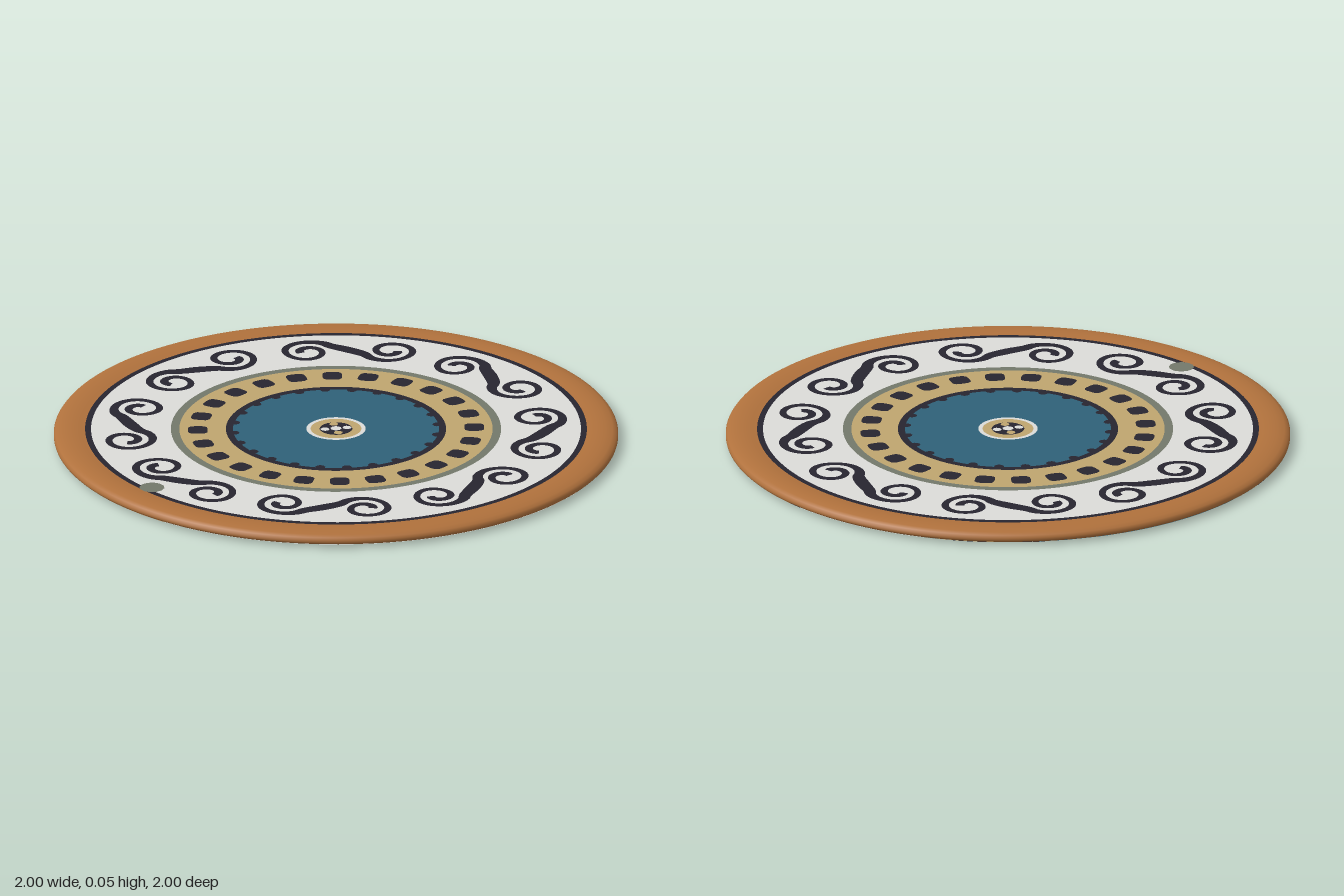
import * as THREE from 'three';

const paint = (name, color) => {
  const m = new THREE.MeshStandardMaterial({ color, side: THREE.DoubleSide });
  m.name = name;
  return m;
};
const white = paint('chalk white', 0xdcdcd9);
const brown = paint('terracotta', 0xb0713c);
const tan = paint('sand', 0xbfa56f);
const blue = paint('deep blue', 0x2f6178);
const dark = paint('ink', 0x272530);
const grey = paint('grey green', 0x73786b);

const TAU = Math.PI * 2, rad = THREE.MathUtils.degToRad;
const BASE = 0.004, FIELD = 0.045, STEP = 0.001, EDGE = 0.992;

// Height of the rounded lower edge of the plate at radius r
const underside = r => (r < 0.94 ? 0 : 0.018 * (1 - Math.sqrt(Math.max(0, 1 - ((r - 0.94) / 0.06) ** 2))));

// Pattern plane to the plate's top
const onTop = (a, b, layer) => ({ p: [a, FIELD + STEP * (layer + 1), -b], out: false });

// Enlarged, off-centre pattern on the underside, cut off at the plate's edge
function onBottom(a, b, layer) {
  let u = 1.295 + 1.75 * a, w = 0.12 + 1.87 * b;
  const r = Math.hypot(u, w), out = r > EDGE;
  if (out) { u *= EDGE / r; w *= EDGE / r; }
  const y = BASE + underside(Math.min(r, EDGE)) - STEP * (layer + 1);
  return { p: [(w - u) * Math.SQRT1_2, y, -(u + w) * Math.SQRT1_2], out };
}

// Lays a flat geometry on the plate, dropping faces that miss it
function lay(group, name, flat, material, map, layer) {
  const pos = flat.attributes.position, index = flat.index.array;
  const pts = [], faces = [];
  const outs = [];
  for (let i = 0; i < pos.count; i++) {
    const m = map(pos.getX(i), pos.getY(i), layer);
    pts.push(...m.p);
    outs.push(m.out);
  }
  for (let i = 0; i < index.length; i += 3) {
    const [a, b, c] = [index[i], index[i + 1], index[i + 2]];
    if (!(outs[a] && outs[b] && outs[c])) faces.push(a, b, c);
  }
  if (!faces.length) return;
  const g = new THREE.BufferGeometry();
  g.setAttribute('position', new THREE.Float32BufferAttribute(pts, 3));
  g.setIndex(faces);
  g.computeVertexNormals();
  const mesh = new THREE.Mesh(g, material);
  mesh.name = name;
  group.add(mesh);
}

// Tapered S-shaped scroll with a spiral at each end, centred on the origin
function scrollGeometry() {
  const half = [];
  for (let i = 0; i <= 26; i++) {
    const t = i / 26, angle = rad(-150 + 520 * t), r = 0.1 - 0.075 * t;
    half.push(new THREE.Vector3(0.148 + r * Math.cos(angle), 0.015 + r * Math.sin(angle), 0));
  }
  const other = half.map(p => p.clone().negate()).reverse();
  const curve = new THREE.CatmullRomCurve3([...other, new THREE.Vector3(), ...half]);
  const N = 150, pts = [], index = [];
  for (let i = 0; i <= N; i++) {
    const t = i / N, p = curve.getPointAt(t), d = curve.getTangentAt(t);
    const s = Math.abs(2 * t - 1);
    const w = 0.0125 + 0.013 * Math.exp(-((s / 0.2) ** 2)) + 0.004 * Math.max(0, s - 0.8) * 5 * (s < 0.99 ? 1 : 0.5);
    pts.push(p.x - d.y * w, p.y + d.x * w, 0, p.x + d.y * w, p.y - d.x * w, 0);
    if (i < N) {
      const k = 2 * i;
      index.push(k, k + 1, k + 2, k + 1, k + 3, k + 2);
    }
  }
  const g = new THREE.BufferGeometry();
  g.setAttribute('position', new THREE.Float32BufferAttribute(pts, 3));
  g.setIndex(index);
  return g;
}

// Rounded square block
function blockGeometry(size) {
  const g = new THREE.CircleGeometry(size, 20), pos = g.attributes.position;
  for (let i = 1; i < pos.count; i++) {
    const x = pos.getX(i) / size, y = pos.getY(i) / size;
    const k = 1 / Math.pow(x ** 4 + y ** 4, 0.25);
    pos.setXY(i, x * k * size, y * k * size);
  }
  return g;
}

function pattern(name, map, turn) {
  const group = new THREE.Group();
  group.name = name;
  const ring = (part, r0, r1, mat, layer = 0, rows = 4) =>
    lay(group, part, new THREE.RingGeometry(r0, r1, 160, rows), mat, map, layer);

  // Concentric bands
  ring('blueField', 0.1, 0.365, blue);
  ring('innerLine', 0.365, 0.39, dark);
  ring('sandBand', 0.39, 0.555, tan);
  ring('greyLine', 0.555, 0.585, grey);
  ring('scrollBand', 0.585, 0.868, white, 0, 8);
  ring('outerLine', 0.868, 0.889, dark);

  // Centre boss
  ring('centreEdge', 0.09, 0.105, white, 1, 1);
  ring('centreBand', 0.058, 0.09, tan, 1, 1);
  ring('centreDisc', 0.001, 0.058, dark, 1, 1);
  for (let i = 0; i < 5; i++) {
    const r = i ? 0.04 : 0, a = rad(20 + 90 * i);
    const dot = new THREE.CircleGeometry(i ? 0.016 : 0.02, 10).translate(r * Math.cos(a), r * Math.sin(a), 0);
    lay(group, 'centreDot', dot, i % 2 ? tan : white, map, 2);
  }

  // Blocks of the sand band and scallops round the blue field
  for (let i = 0; i < 24; i++) {
    const a = rad(85 + turn) + (i * TAU) / 24;
    lay(group, 'block', blockGeometry(0.035).translate(0.49, 0, 0).rotateZ(a), dark, map, 1);
    const bump = new THREE.CircleGeometry(0.018, 10).translate(0.362, 0, 0).rotateZ(a + 0.08);
    lay(group, 'scallop', bump, dark, map, 1);
  }

  // Eight scrolls, half of them mirrored
  for (let k = 0; k < 8; k++) {
    const g = scrollGeometry();
    const flip = k >= 3 && k <= 6 ? -1 : 1, pos = g.attributes.position;
    for (let i = 0; i < pos.count; i++) {
      // bend the scroll along the band
      const angle = rad(95 - 45 * k + turn) - pos.getX(i) / 0.735;
      const r = 0.732 + flip * pos.getY(i);
      pos.setXY(i, r * Math.cos(angle), r * Math.sin(angle));
    }
    lay(group, 'scroll', g, dark, map, 1);
  }
  return group;
}

export function createModel() {
  const model = new THREE.Group();
  model.name = 'plate';

  // Plate body with a rounded rim
  const profile = [[0, BASE]];
  for (let i = 0; i <= 8; i++) {
    const r = 0.94 + 0.06 * Math.sin((i / 8) * Math.PI / 2);
    profile.push([r, BASE + underside(r)]);
  }
  profile.push([1, 0.03], [0.994, 0.038], [0.98, 0.045], [0.955, 0.049], [0.93, 0.05],
    [0.905, 0.0485], [0.888, 0.0455], [0.87, FIELD], [0, FIELD]);
  const body = new THREE.Mesh(
    new THREE.LatheGeometry(profile.map(([x, y]) => new THREE.Vector2(x, y)), 160), brown);
  body.name = 'body';
  model.add(body);

  // Painted top, with a worn patch
  const top = pattern('topPattern', onTop, 0);
  lay(top, 'wornPatch', new THREE.CircleGeometry(0.045, 12).translate(-0.565, -0.635, 0), grey, onTop, 0.5);
  model.add(top);

  // Painted underside: enlarged pattern, brown band and bare white
  const bottom = pattern('bottomPattern', onBottom, 68);
  const band = (part, r0, r1, mat, rows) =>
    lay(bottom, part, new THREE.RingGeometry(r0, r1, 240, rows), mat, onBottom, 0);
  band('brownBand', 0.889, 1.055, brown, 6);
  band('bandEdge', 1.055, 1.063, tan, 1);
  band('bareBand', 1.063, 1.6, white, 20);
  model.add(bottom);
  return model;
}
